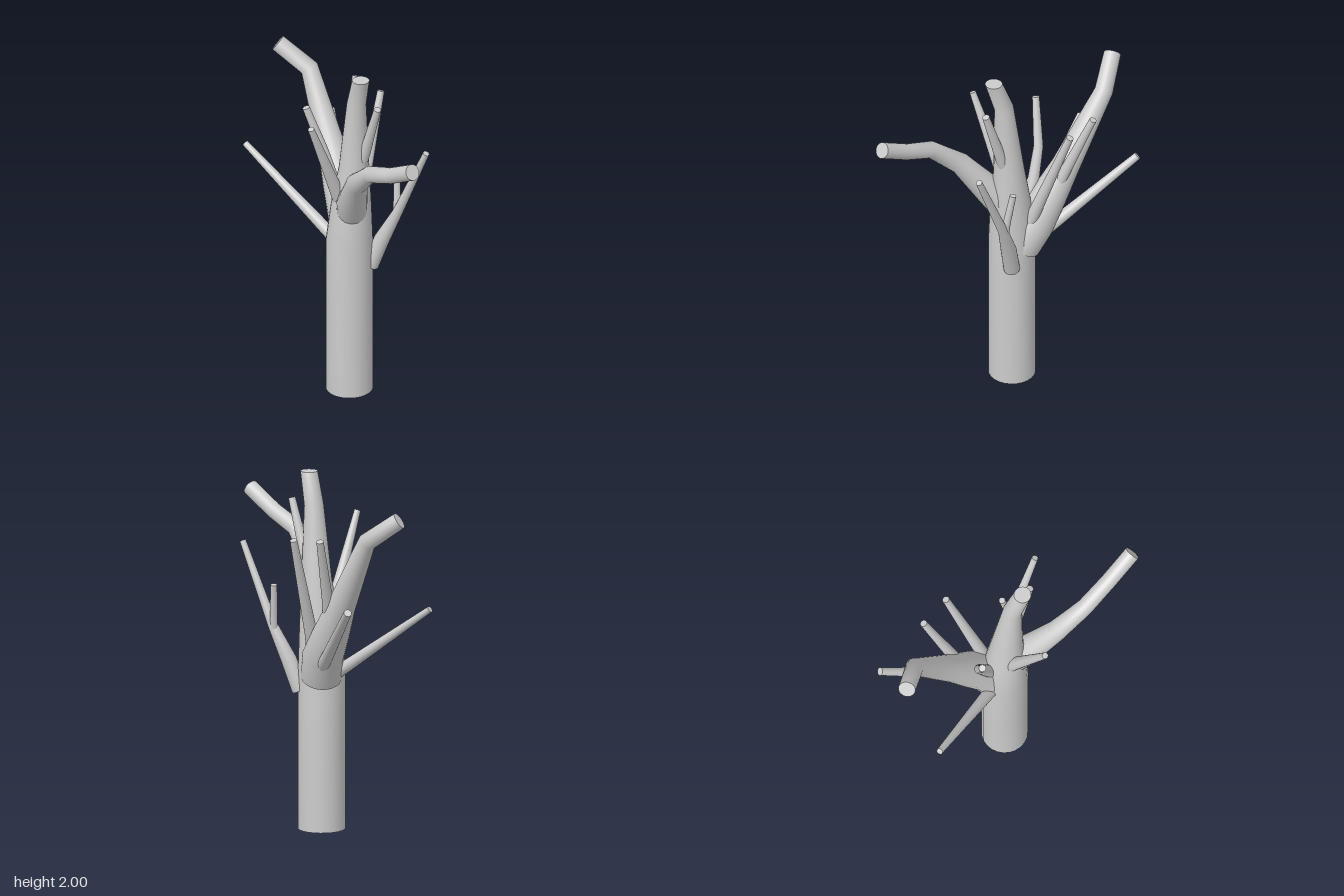
import * as THREE from 'three';

const SIDES = 24;
const material = new THREE.MeshStandardMaterial({ color: 0xcccccc });

// Tapered limb through points [x, y, z, radius]; endDir overrides the tilt of the last ring.
function limb(name, points, endDir) {
  const centres = points.map(([x, y, z]) => new THREE.Vector3(x, y, z));
  const last = centres.length - 1;
  const positions = [], index = [];
  const rings = centres.map((c, i) => {
    const before = centres[Math.max(i, 1)].clone().sub(centres[Math.max(i, 1) - 1]).normalize();
    const next = Math.min(i + 1, last);
    const after = centres[next].clone().sub(centres[next - 1]).normalize();
    const t = i === last && endDir ? endDir.clone() : before.add(after).normalize();
    const u = new THREE.Vector3(1, 0, 0).projectOnPlane(t).normalize();
    const v = t.clone().cross(u);
    return Array.from({ length: SIDES }, (_, j) => {
      const a = (j / SIDES) * Math.PI * 2, r = points[i][3];
      return c.clone().addScaledVector(u, r * Math.cos(a)).addScaledVector(v, r * Math.sin(a));
    });
  });

  // Bark surface
  rings.forEach((ring, i) => {
    ring.forEach((p, j) => {
      positions.push(p.x, p.y, p.z);
      if (i === last) return;
      const a = i * SIDES + j, b = i * SIDES + (j + 1) % SIDES;
      index.push(a, b, a + SIDES, b, b + SIDES, a + SIDES);
    });
  });

  // Flat sawn ends, with their own vertices for a sharp rim
  for (const [i, flip] of [[0, true], [last, false]]) {
    const base = positions.length / 3;
    [centres[i], ...rings[i]].forEach((p) => positions.push(p.x, p.y, p.z));
    for (let j = 0; j < SIDES; j++) {
      const a = base + 1 + j, b = base + 1 + (j + 1) % SIDES;
      index.push(base, ...(flip ? [b, a] : [a, b]));
    }
  }

  const geometry = new THREE.BufferGeometry();
  geometry.setAttribute('position', new THREE.Float32BufferAttribute(positions, 3));
  geometry.setIndex(index);
  geometry.computeVertexNormals();
  const mesh = new THREE.Mesh(geometry, material);
  mesh.name = name;
  return mesh;
}

export function createModel() {
  const tree = new THREE.Group();
  tree.name = 'prunedTree';

  // Trunk, straight below and tapering to a bent top
  tree.add(limb('trunk', [
    [-0.046, 0, -0.014, 0.131], [-0.046, 0.5, -0.014, 0.131], [-0.046, 0.93, -0.014, 0.131],
    [-0.047, 1.17, 0, 0.112], [-0.045, 1.4, 0.018, 0.085],
    [-0.06, 1.82, 0.045, 0.054], [-0.092, 2, 0.098, 0.048],
  ], new THREE.Vector3(0, 1, 0)));

  // Two main boughs
  tree.add(limb('frontBough', [
    [-0.07, 1.13, 0.02, 0.085], [-0.13, 1.23, 0.065, 0.085], [-0.255, 1.45, 0.19, 0.06],
    [-0.343, 1.6, 0.347, 0.048], [-0.385, 1.67, 0.52, 0.045], [-0.428, 1.77, 0.7, 0.045],
  ]));
  tree.add(limb('backBough', [
    [-0.005, 0.87, -0.04, 0.115], [0.05, 1.0, -0.085, 0.115], [0.095, 1.16, -0.175, 0.1],
    [0.14, 1.32, -0.265, 0.08], [0.238, 1.73, -0.497, 0.052], [0.178, 1.86, -0.67, 0.048],
  ]));

  // Thin side shoots
  const shoots = {
    lowBackShoot: [[-0.03, 0.87, -0.09, 0.035], [-0.035, 0.95, -0.2, 0.034], [-0.065, 1.32, -0.715, 0.018]],
    backLeftShoot: [[0.1, 0.95, -0.11, 0.036], [0.16, 1.02, -0.18, 0.034], [0.455, 1.37, -0.51, 0.022]],
    boughShoot: [[0.15, 1.25, -0.185, 0.032], [0.19, 1.36, -0.205, 0.031], [0.335, 1.72, -0.25, 0.02]],
    leftShoot: [[0.03, 0.95, -0.02, 0.042], [0.09, 1.12, -0.035, 0.036], [0.31, 1.7, -0.06, 0.02]],
    rightShoot: [[-0.08, 1.15, -0.035, 0.042], [-0.14, 1.3, -0.045, 0.036], [-0.34, 1.75, -0.06, 0.018]],
    backShoot: [[-0.005, 1.1, -0.1, 0.036], [0, 1.25, -0.16, 0.032],
      [-0.01, 1.42, -0.22, 0.027], [-0.075, 1.69, -0.29, 0.02]],
    highFrontShoot: [[-0.045, 1.42, 0.06, 0.034], [-0.05, 1.52, 0.095, 0.031], [-0.075, 1.84, 0.2, 0.02]],
    lowFrontShoot: [[0.02, 0.78, 0.085, 0.045], [0.04, 0.95, 0.145, 0.044],
      [0.065, 1.14, 0.235, 0.028], [0.046, 1.59, 0.445, 0.018]],
    frontTwig: [[0.068, 1.1, 0.222, 0.02], [0.08, 1.2, 0.22, 0.021], [0.107, 1.38, 0.2, 0.018]],
  };
  for (const [name, path] of Object.entries(shoots)) tree.add(limb(name, path));

  return tree;
}
